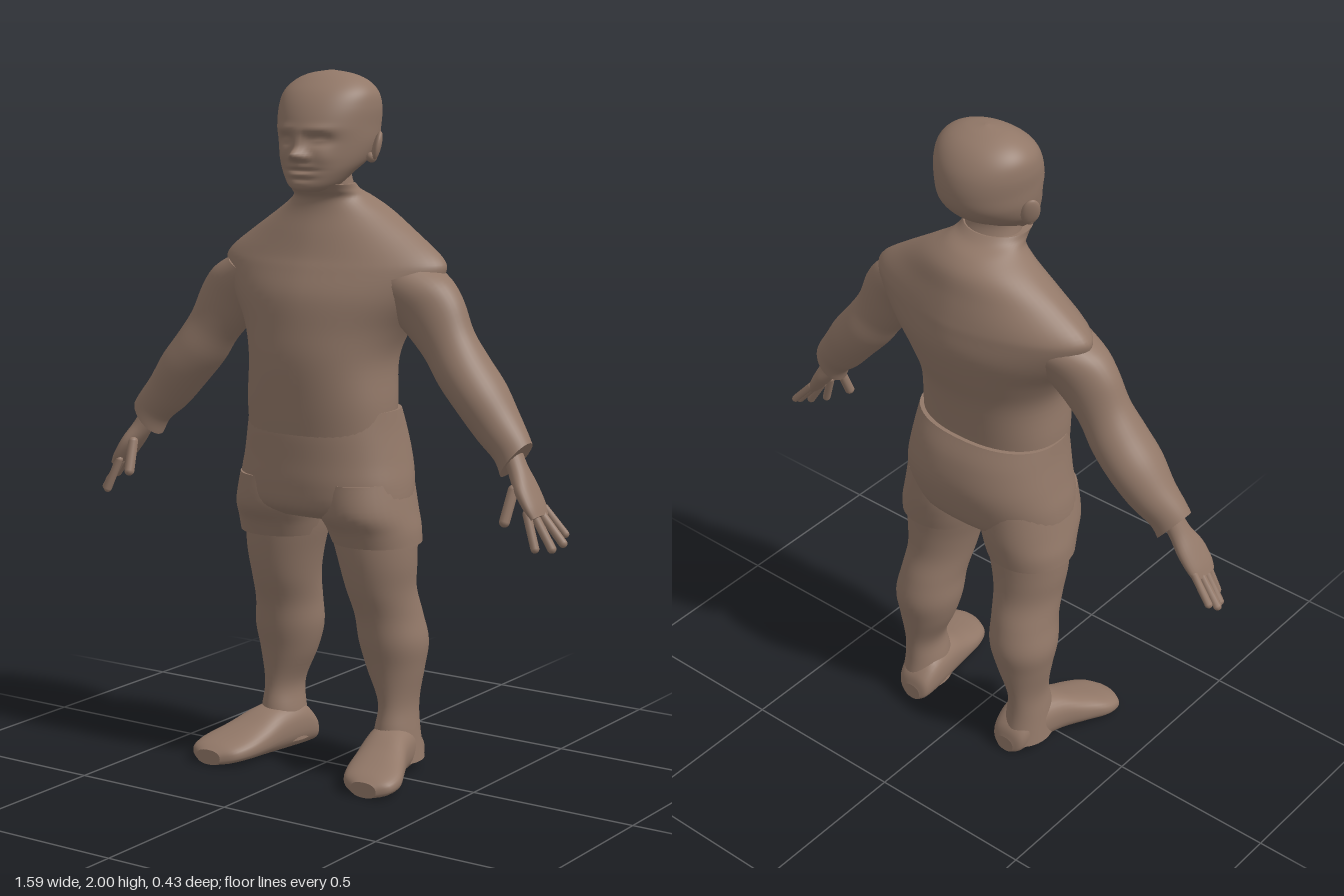
import * as THREE from 'three';

const skin = new THREE.MeshStandardMaterial({ color: 0x927868 });
skin.name = 'warm brown';

// Smooth loft through rows [x, y, z, halfU, halfV, exponent, tilt], listed bottom to top.
function loft(rows, seg = 36, steps = 5) {
  const pos = [], idx = [], spans = (rows.length - 1) * steps;
  const at = (i) => rows[Math.min(Math.max(i, 0), rows.length - 1)];
  const ring = ([x, y, z, u, v, n = 2, t = 0]) => {
    for (let j = 0; j < seg; j++) {
      const a = (j / seg) * Math.PI * 2, c = Math.cos(a), s = Math.sin(a);
      const p = Math.sign(c) * Math.abs(c) ** (2 / n) * u;
      const q = Math.sign(s) * Math.abs(s) ** (2 / n) * v;
      pos.push(x + p * Math.cos(t), y + p * Math.sin(t), z + q);
    }
  };
  const sample = (k) => {
    const i = Math.min(Math.floor(k / steps), rows.length - 2), f = k / steps - i;
    return [0, 1, 2, 3, 4, 5, 6].map((d) => {
      const def = d === 5 ? 2 : 0;
      const [p0, p1, p2, p3] = [-1, 0, 1, 2].map((o) => at(i + o)[d] ?? def);
      return p1 + 0.5 * f * (p2 - p0 + f * (2 * p0 - 5 * p1 + 4 * p2 - p3 + f * (3 * (p1 - p2) + p3 - p0)));
    });
  };
  for (let k = 0; k <= spans; k++) ring(sample(k));
  for (let k = 0; k < spans; k++) {
    for (let j = 0; j < seg; j++) {
      const a = k * seg + j, b = k * seg + ((j + 1) % seg);
      idx.push(a, a + seg, b, b, a + seg, b + seg);
    }
  }
  // end caps with their own vertices, so hems stay crisp
  for (const [row, top] of [[rows[0], false], [rows[rows.length - 1], true]]) {
    const base = pos.length / 3;
    ring(row);
    pos.push(row[0], row[1], row[2]);
    for (let j = 0; j < seg; j++) {
      const a = base + j, b = base + ((j + 1) % seg);
      idx.push(...(top ? [b, a, base + seg] : [a, b, base + seg]));
    }
  }
  const g = new THREE.BufferGeometry();
  g.setAttribute('position', new THREE.Float32BufferAttribute(pos, 3));
  g.setIndex(idx);
  g.computeVertexNormals();
  return g;
}

// Level cross-section from half width, front z and back z
const level = (y, w, front, back, n = 2) => [0, y, (front + back) / 2, w, (front - back) / 2, n, 0];

function mirrored(geo) {
  const g = geo.clone().scale(-1, 1, 1), ix = g.index;
  for (let i = 0; i < ix.count; i += 3) {
    const a = ix.getX(i);
    ix.setX(i, ix.getX(i + 1));
    ix.setX(i + 1, a);
  }
  g.computeVertexNormals();
  return g;
}

const bump = (x, y, cx, cy, sx, sy) => Math.exp(-(((x - cx) / sx) ** 2) - ((y - cy) / sy) ** 2);

// Head with nose, eye sockets, lids, lips and brow pushed out of the front
function headGeometry() {
  const g = loft([
    level(1.668, 0.035, 0.12, 0.03), level(1.682, 0.068, 0.136, -0.01), level(1.72, 0.1, 0.138, -0.055),
    level(1.755, 0.122, 0.138, -0.115), level(1.80, 0.136, 0.138, -0.155), level(1.85, 0.142, 0.14, -0.166),
    level(1.9, 0.146, 0.123, -0.16), level(1.94, 0.139, 0.096, -0.14), level(1.97, 0.112, 0.06, -0.11),
    level(1.99, 0.067, 0.022, -0.07), level(2.0, 0.004, -0.02, -0.028),
  ], 88, 8);
  const p = g.attributes.position;
  for (let i = 0; i < p.count; i++) {
    const x = Math.abs(p.getX(i)), y = p.getY(i), z = p.getZ(i);
    if (z < 0.03) continue;
    const d = 0.034 * bump(x, y, 0, 1.771, 0.02, 0.015) + 0.014 * bump(x, y, 0, 1.8, 0.016, 0.03)
      + 0.01 * bump(x, y, 0.024, 1.765, 0.012, 0.01)
      - 0.018 * bump(x, y, 0.055, 1.812, 0.032, 0.016) + 0.009 * bump(x, y, 0.055, 1.81, 0.02, 0.008)
      + 0.006 * bump(x, y, 0.05, 1.842, 0.045, 0.012)
      - 0.009 * bump(x, y, 0, 1.728, 0.045, 0.005) + 0.006 * bump(x, y, 0, 1.74, 0.03, 0.007)
      + 0.006 * bump(x, y, 0, 1.716, 0.028, 0.007) - 0.007 * bump(x, y, 0, 1.704, 0.04, 0.006)
      + 0.005 * bump(x, y, 0.07, 1.765, 0.025, 0.022);
    p.setZ(i, z + d);
  }
  g.computeVertexNormals();
  return g;
}

// Rounded finger between two points
function finger(a, b, r) {
  const from = new THREE.Vector3(...a), dir = new THREE.Vector3(...b).sub(from);
  const len = dir.length();
  const g = new THREE.CapsuleGeometry(r, len - r, 5, 10);
  g.applyQuaternion(new THREE.Quaternion().setFromUnitVectors(new THREE.Vector3(0, 1, 0), dir.clone().normalize()));
  const mid = from.addScaledVector(dir, 0.5);
  return g.translate(mid.x, mid.y, mid.z);
}

export function createModel() {
  const model = new THREE.Group();
  model.name = 'figure';
  const add = (name, geo) => {
    const m = new THREE.Mesh(geo, skin);
    m.name = name;
    model.add(m);
  };
  const pair = (name, geo) => {
    add('left' + name, geo);
    add('right' + name, mirrored(geo));
  };

  // head and neck
  add('head', headGeometry());
  add('neck', loft([level(1.6, 0.1, 0.05, -0.12), level(1.68, 0.085, 0.07, -0.065),
    level(1.73, 0.08, 0.07, -0.052), level(1.78, 0.085, 0.06, -0.07)]));
  const ear = new THREE.SphereGeometry(1, 20, 14).scale(0.012, 0.043, 0.027);
  pair('Ear', ear.rotateZ(-0.25).rotateY(0.6).translate(0.151, 1.792, -0.025));
  pair('EarLobe', new THREE.SphereGeometry(0.015, 12, 10).translate(0.14, 1.762, -0.015));

  // jumper
  add('jumperBody', loft([
    level(0.99, 0.222, 0.176, -0.135, 2.3), level(1.08, 0.224, 0.184, -0.142, 2.3),
    level(1.2, 0.222, 0.19, -0.16, 2.2), level(1.29, 0.258, 0.182, -0.19, 2),
    level(1.38, 0.325, 0.168, -0.213, 1.8), level(1.45, 0.365, 0.138, -0.21, 1.7),
    level(1.49, 0.352, 0.118, -0.203, 1.7), level(1.55, 0.27, 0.095, -0.188, 1.75),
    level(1.61, 0.178, 0.072, -0.17, 1.9), level(1.648, 0.118, 0.07, -0.135, 2),
    level(1.67, 0.1, 0.095, -0.09, 2), level(1.688, 0.098, 0.115, -0.065, 2),
  ], 56));
  pair('Sleeve', loft([
    [0.632, 0.965, 0.015, 0.064, 0.053, 2, 0.9], [0.612, 1.0, 0.01, 0.06, 0.057, 2, 0.8],
    [0.565, 1.05, 0, 0.068, 0.07, 2, 0.72], [0.51, 1.12, -0.005, 0.075, 0.085, 2, 0.68],
    [0.45, 1.19, -0.008, 0.078, 0.083, 2, 0.65], [0.4, 1.26, -0.01, 0.08, 0.072, 2, 0.55],
    [0.345, 1.335, -0.015, 0.1, 0.076, 2, 0.45], [0.29, 1.385, -0.02, 0.115, 0.09, 2, 0.4],
    [0.22, 1.42, -0.03, 0.13, 0.11, 2, 0.35],
  ]));

  // hands, thumb to the front
  pair('Palm', loft([
    [0.722, 0.822, 0.042, 0.014, 0.042, 2.4, 0.6], [0.705, 0.85, 0.04, 0.019, 0.05, 2.3, 0.6],
    [0.675, 0.895, 0.035, 0.024, 0.05, 2.2, 0.62], [0.645, 0.94, 0.026, 0.027, 0.036, 2, 0.7],
    [0.62, 0.985, 0.018, 0.028, 0.033, 2, 0.75],
  ], 24));
  const fingers = [
    ['LittleFinger', [0.712, 0.845, 0.003], [0.778, 0.77, -0.008], 0.011],
    ['RingFinger', [0.715, 0.835, 0.028], [0.788, 0.75, 0.022], 0.0125],
    ['MiddleFinger', [0.71, 0.832, 0.053], [0.772, 0.738, 0.055], 0.0125],
    ['IndexFinger', [0.7, 0.84, 0.075], [0.738, 0.74, 0.09], 0.012],
    ['Thumb', [0.655, 0.9, 0.065], [0.645, 0.803, 0.1], 0.015],
  ];
  for (const [name, a, b, r] of fingers) pair(name, finger(a, b, r));

  // shorts
  add('shortsBody', loft([
    level(0.752, 0.235, 0.12, -0.125, 2.3), level(0.785, 0.264, 0.168, -0.163, 2.3),
    level(0.85, 0.263, 0.179, -0.186, 2.3), level(0.92, 0.25, 0.178, -0.195, 2.3),
    level(1.0, 0.236, 0.176, -0.18, 2.3), level(1.06, 0.229, 0.165, -0.152, 2.3),
  ], 56));
  pair('ShortsLeg', loft([
    [0.16, 0.677, -0.02, 0.126, 0.127, 2.1], [0.153, 0.72, -0.014, 0.131, 0.14, 2.1],
    [0.142, 0.775, 0, 0.132, 0.16, 2.1], [0.13, 0.86, 0, 0.127, 0.16, 2.1],
  ]));

  // legs and feet
  pair('Leg', loft([
    [0.2, 0.03, -0.075, 0.07, 0.088], [0.2, 0.12, -0.068, 0.06, 0.08], [0.2, 0.2, -0.075, 0.053, 0.074],
    [0.187, 0.3, -0.078, 0.083, 0.088], [0.182, 0.38, -0.075, 0.1, 0.104], [0.174, 0.46, -0.06, 0.096, 0.104],
    [0.165, 0.54, -0.034, 0.1, 0.106], [0.16, 0.62, -0.023, 0.113, 0.113], [0.15, 0.7, -0.02, 0.125, 0.119],
    [0.14, 0.78, -0.02, 0.13, 0.12],
  ]));
  // lofted heel to toe, then laid down: rows are [x, length, height, half width]
  const soles = [[0.185, -0.166, 0.05, 0.03], [0.187, -0.15, 0.09, 0.055], [0.192, -0.09, 0.14, 0.067],
    [0.21, 0, 0.135, 0.073], [0.235, 0.08, 0.1, 0.085], [0.255, 0.14, 0.076, 0.092],
    [0.266, 0.19, 0.058, 0.078], [0.27, 0.216, 0.044, 0.042]];
  pair('Foot', loft(soles.map(([x, l, h, w]) => [x, l, -h / 2, w, h / 2, 2.4])).rotateX(Math.PI / 2));

  return model;
}
